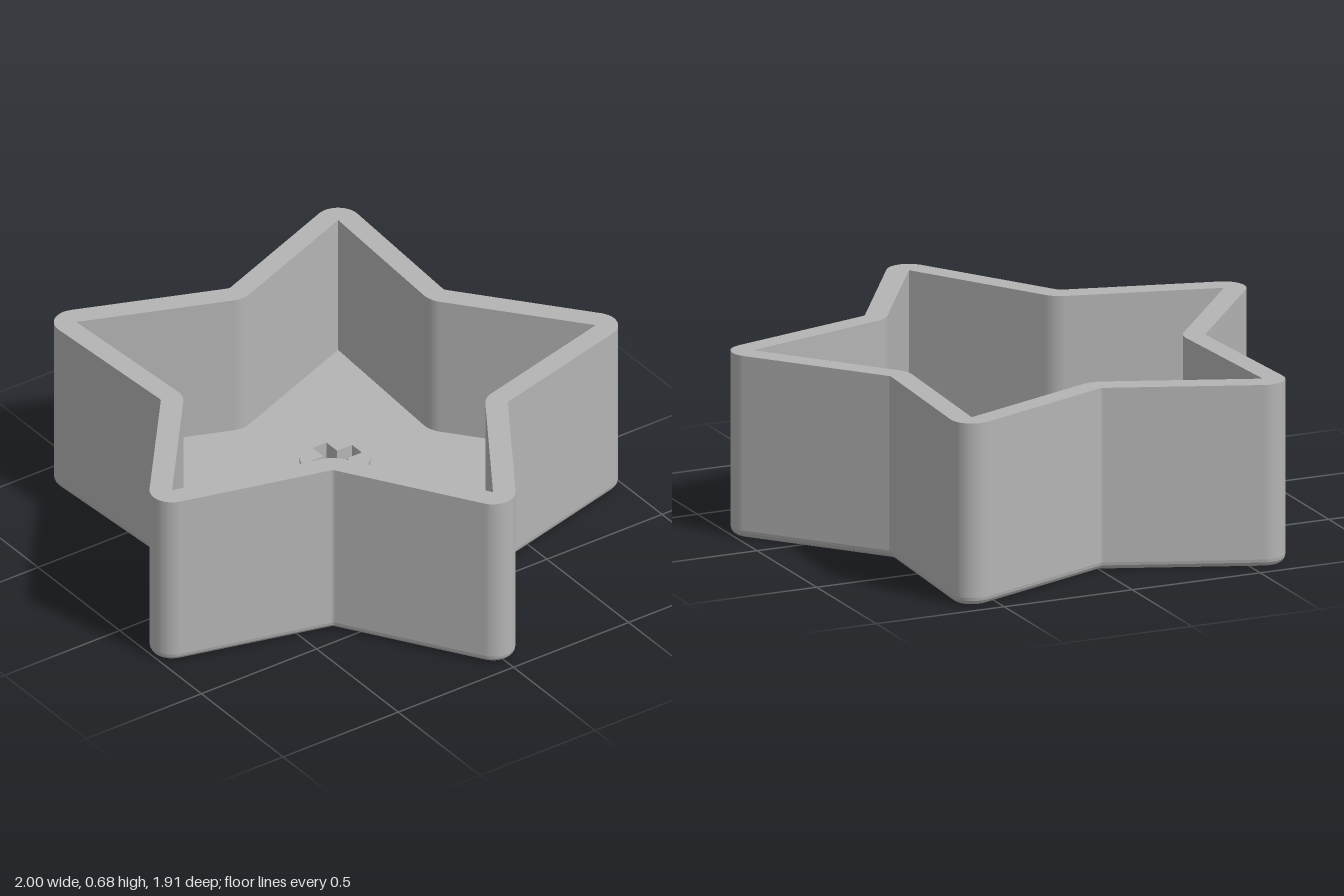
import * as THREE from 'three';
import { toCreasedNormals } from 'three/addons/utils/BufferGeometryUtils.js';

const TIP = 0.967, NOTCH = 0.56, FILLET = 0.1;   // inner star radii and notch rounding
const WALL = 0.08, HEIGHT = 0.675, FLOOR = 0.125, EDGE = 0.03;
const CZ = -0.092;                               // star centre in z
const STEPS = 8;

const dir = (a) => [Math.sin(a), Math.cos(a)];   // [x, z], angle measured from +z

// Inner star outline as points with outward normals; offsetting along them rounds the tips
function starOutline() {
  const pts = [];
  const sector = Math.PI / 5;
  const phi = Math.atan2(TIP - NOTCH * Math.cos(sector), NOTCH * Math.sin(sector));
  const centreR = NOTCH + FILLET / Math.cos(phi - sector);
  for (let k = 0; k < 5; k++) {
    const a = k * 2 * sector;
    const [tx, tz] = dir(a);
    for (let i = 0; i <= STEPS; i++) {
      const n = dir(a - phi + (2 * phi * i) / STEPS);
      pts.push({ x: TIP * tx, z: TIP * tz, n });
    }
    const [cx, cz] = dir(a + sector);
    for (let i = 0; i <= STEPS; i++) {
      const n = dir(a + phi + ((2 * sector - 2 * phi) * i) / STEPS);
      pts.push({ x: centreR * cx - FILLET * n[0], z: centreR * cz - FILLET * n[1], n });
    }
  }
  return pts;
}

// Sweep a [offset, height] profile around the star, crisp between profile segments
function sweep(outline, profile) {
  const pos = [], nor = [], idx = [];
  const count = outline.length;
  for (let s = 0; s < profile.length - 1; s++) {
    const [d0, y0] = profile[s], [d1, y1] = profile[s + 1];
    const len = Math.hypot(d1 - d0, y1 - y0);
    const out = (y1 - y0) / len, up = (d0 - d1) / len;
    const base = pos.length / 3;
    for (const p of outline) {
      for (const [d, y] of [[d0, y0], [d1, y1]]) {
        pos.push(p.x + d * p.n[0], y, p.z + d * p.n[1]);
        nor.push(out * p.n[0], up, out * p.n[1]);
      }
    }
    for (let i = 0; i < count; i++) {
      const a = base + 2 * i, b = base + 2 * ((i + 1) % count);
      idx.push(a, b, b + 1, a, b + 1, a + 1);
    }
  }
  const g = new THREE.BufferGeometry();
  g.setAttribute('position', new THREE.Float32BufferAttribute(pos, 3));
  g.setAttribute('normal', new THREE.Float32BufferAttribute(nor, 3));
  g.setIndex(idx);
  return g;
}

// Flat star face at a given offset, facing up (1) or down (-1)
function starFace(outline, d, y, facing) {
  const pts = [];
  for (const p of outline) {
    const v = new THREE.Vector2(p.x + d * p.n[0], -facing * (p.z + d * p.n[1]));
    if (!pts.length || pts[pts.length - 1].distanceTo(v) > 1e-5) pts.push(v);
  }
  return new THREE.ShapeGeometry(new THREE.Shape(pts))
    .rotateX((-facing * Math.PI) / 2).translate(0, y, 0);
}

export function createModel() {
  const group = new THREE.Group();
  group.name = 'starTray';
  const grey = new THREE.MeshStandardMaterial({ color: 0xb4b4b4 });
  grey.name = 'grey';
  const add = (name, geometry) => {
    const mesh = new THREE.Mesh(geometry, grey);
    mesh.name = name;
    mesh.position.z = CZ;
    group.add(mesh);
  };

  const outline = starOutline();

  // Wall: rounded bottom edge, outer side, rim, inner side
  const profile = [];
  for (let i = 0; i <= 4; i++) {
    const a = (i / 4) * Math.PI / 2;
    profile.push([WALL - EDGE + EDGE * Math.sin(a), EDGE - EDGE * Math.cos(a)]);
  }
  profile.push([WALL, HEIGHT], [0, HEIGHT], [0, FLOOR]);
  add('wall', sweep(outline, profile));

  // Floor and underside
  add('floor', starFace(outline, 0, FLOOR, 1));
  add('underside', starFace(outline, WALL - EDGE, 0, -1));

  // Round post with a cross-shaped socket
  const post = new THREE.Shape().absarc(0, 0, 0.125, 0, Math.PI * 2, false);
  const L = 0.095, w = 0.03;
  const cross = [[w, w], [w, L], [-w, L], [-w, w], [-L, w], [-L, -w],
    [-w, -w], [-w, -L], [w, -L], [w, -w], [L, -w], [L, w]];
  post.holes.push(new THREE.Path(cross.map(([x, y]) => new THREE.Vector2(x, y))));
  const postGeometry = new THREE.ExtrudeGeometry(post, { depth: 0.18, bevelEnabled: false, curveSegments: 32 });
  postGeometry.rotateX(-Math.PI / 2).translate(0, FLOOR, 0);
  add('socketPost', toCreasedNormals(postGeometry, 0.6));

  return group;
}
